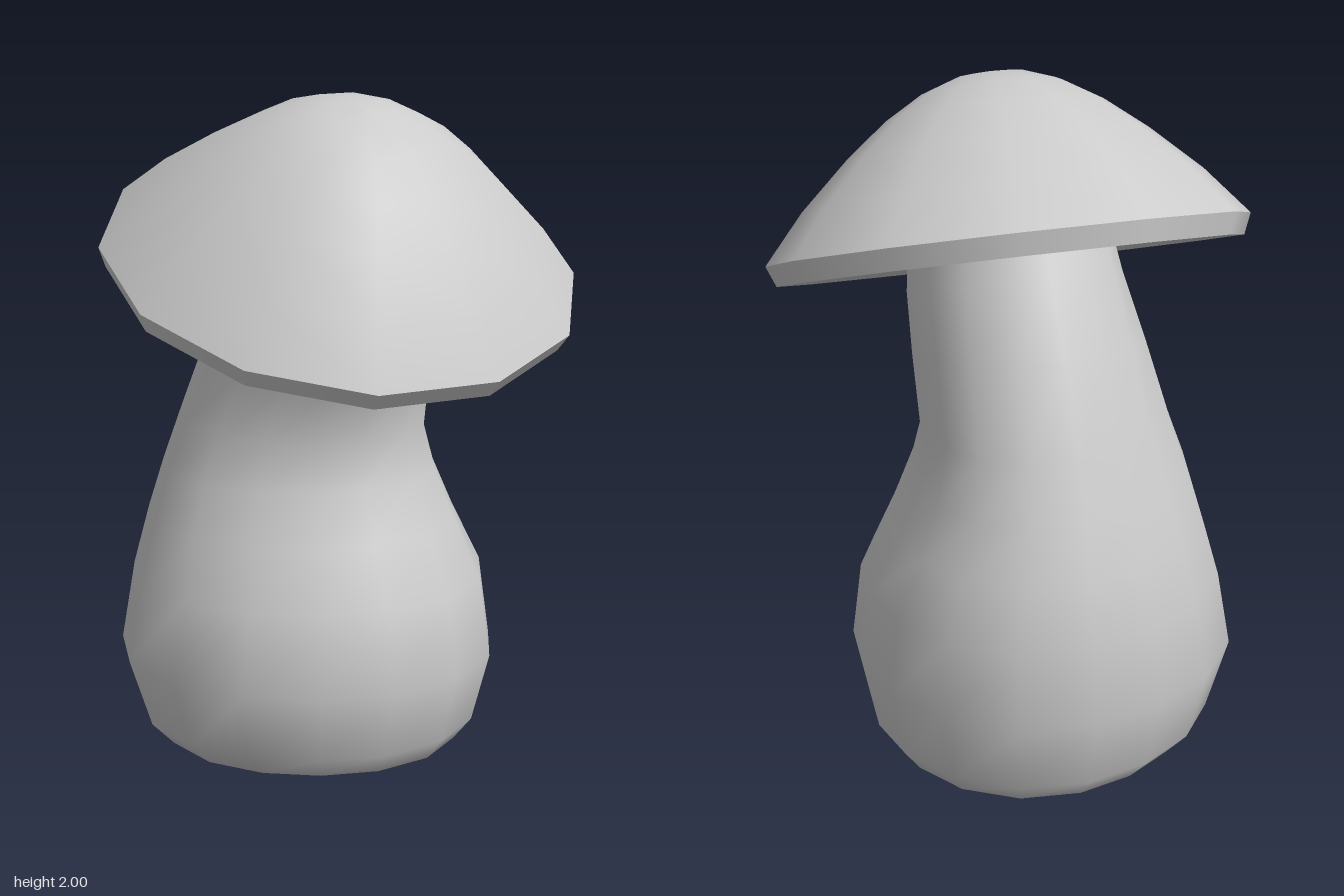
import * as THREE from 'three';

const SIDES = 16;

// Stem rings: [height, centre x, centre z, radius, lopsidedness, tilt]
const STEM_RINGS = [
  [0.0, -0.12, -0.11, 0, 0, 0],
  [0.02, -0.12, -0.11, 0.32, 0.02, 0],
  [0.07, -0.12, -0.11, 0.44, 0.03, 0],
  [0.14, -0.125, -0.11, 0.5, 0.03, 0],
  [0.35, -0.125, -0.105, 0.555, 0.035, 0],
  [0.58, -0.13, -0.125, 0.52, 0.035, 0],
  [0.75, -0.15, -0.14, 0.455, 0.05, 0],
  [0.9, -0.155, -0.135, 0.4, 0.06, 0],
  [1.05, -0.145, -0.13, 0.355, 0.06, 0.05],
  [1.25, -0.09, -0.085, 0.33, 0.025, 0.15],
  [1.42, -0.03, -0.03, 0.305, 0, 0.24],
  [1.52, 0.0, 0.0, 0.29, 0, 0.26],
];

// Lofts the leaning stem through its rings
function stemGeometry() {
  const position = [];
  const index = [];
  STEM_RINGS.forEach(([y, cx, cz, radius, lop, tilt], ring) => {
    for (let j = 0; j < SIDES; j++) {
      const a = (j / SIDES) * Math.PI * 2;
      const d = a - Math.PI * 0.75;
      const r = radius * (1 + lop * (Math.cos(d) + Math.cos(3 * d)));
      const dx = r * Math.cos(a);
      const dz = r * Math.sin(a);
      position.push(cx + dx, y - tilt * (dx + dz), cz + dz);
      if (ring === 0) continue;
      const k = (j + 1) % SIDES;
      const low = (ring - 1) * SIDES;
      const high = ring * SIDES;
      if (ring > 1) index.push(low + j, high + j, low + k);
      index.push(low + k, high + j, high + k);
    }
  });
  const geometry = new THREE.BufferGeometry();
  geometry.setAttribute('position', new THREE.Float32BufferAttribute(position, 3));
  geometry.setIndex(index);
  geometry.computeVertexNormals();
  return geometry;
}

export function createModel() {
  const model = new THREE.Group();
  model.name = 'mushroom';
  const material = new THREE.MeshStandardMaterial({ color: 0xcccccc });

  const add = (parent, name, geometry) => {
    const mesh = new THREE.Mesh(geometry, material);
    mesh.name = name;
    parent.add(mesh);
  };
  const lathe = (points) =>
    new THREE.LatheGeometry(points.map(([r, h]) => new THREE.Vector2(r, h)), 12);

  add(model, 'stem', stemGeometry());

  // Cap, tipped down towards the front and +x
  const cap = new THREE.Group();
  cap.name = 'cap';
  cap.position.y = 1.53;
  cap.quaternion.setFromUnitVectors(
    new THREE.Vector3(0, 1, 0),
    new THREE.Vector3(0.26, 1, 0.26).normalize()
  );
  model.add(cap);

  add(cap, 'capDome', lathe([
    [0.69, 0], [0.57, 0.14], [0.43, 0.27], [0.31, 0.365],
    [0.2, 0.43], [0.1, 0.465], [0, 0.475],
  ]));
  add(cap, 'capRim', lathe([[0.665, -0.06], [0.69, 0]]));
  add(cap, 'capUnderside', lathe([[0, -0.02], [0.3, -0.035], [0.5, -0.055], [0.665, -0.06]]));

  return model;
}
